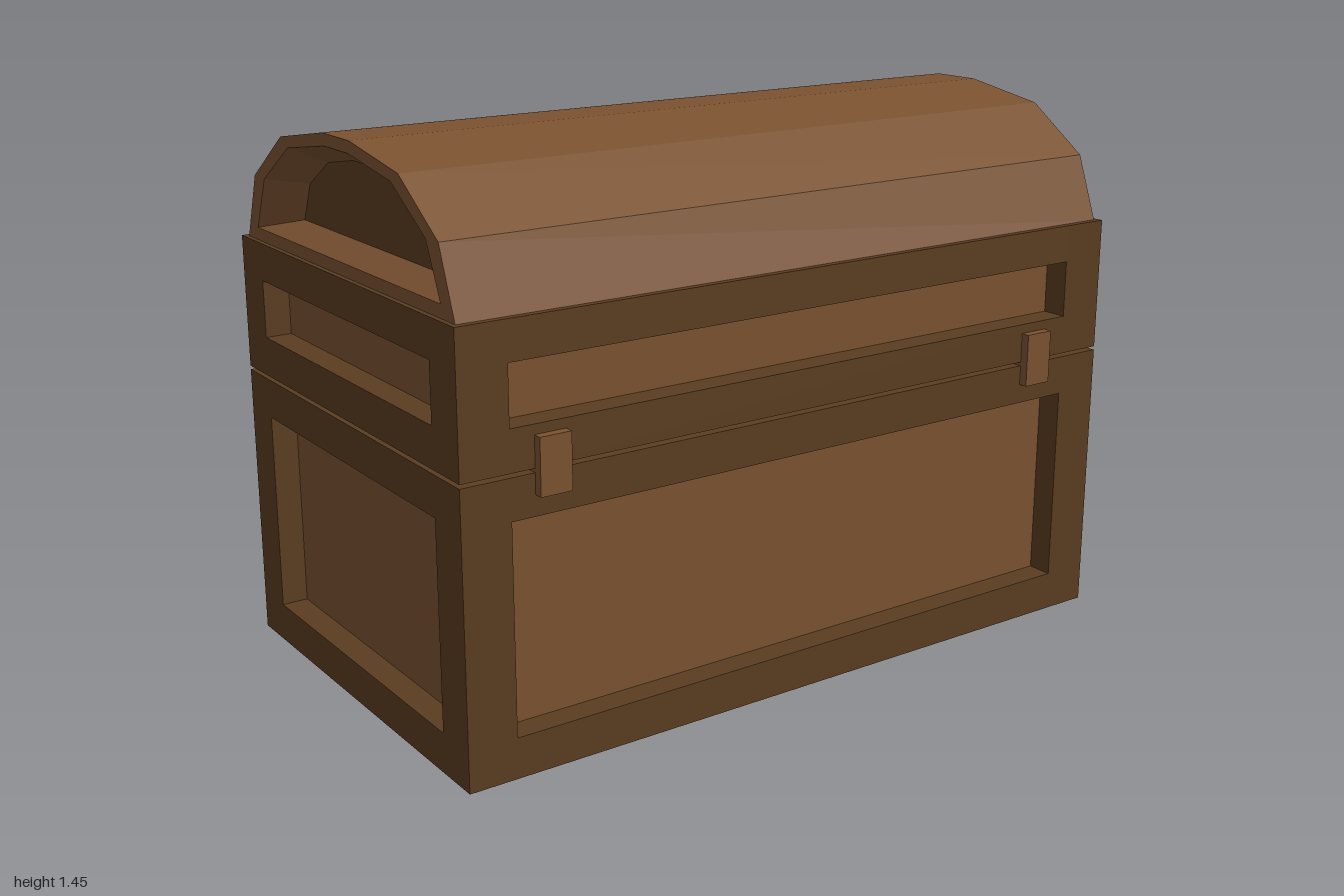
import * as THREE from 'three';

const light = new THREE.MeshStandardMaterial({ color: 0x7a5230, flatShading: true });
const dark = new THREE.MeshStandardMaterial({ color: 0x5b3d21, flatShading: true });
const iron = new THREE.MeshStandardMaterial({ color: 0x2b2e38, flatShading: true });

const HX = 1, HZ = 0.582; // half width and half depth
const POST_X = 0.13, POST_Z = 0.122, RECESS = 0.07;

function add(parent, name, geometry, material) {
  const mesh = new THREE.Mesh(geometry, material);
  mesh.name = name;
  parent.add(mesh);
  return mesh;
}

function box(parent, name, material, x0, x1, y0, y1, z0, z1) {
  const mesh = add(parent, name, new THREE.BoxGeometry(x1 - x0, y1 - y0, z1 - z0), material);
  mesh.position.set((x0 + x1) / 2, (y0 + y1) / 2, (z0 + z1) / 2);
  return mesh;
}

// Flat-shaded skin over cross-sections: each ring is { pts: [[x, y], ...] counter-clockwise, z }
function loft(rings) {
  const pos = [];
  const put = (r, i) => pos.push(r.pts[i][0], r.pts[i][1], r.z);
  for (let k = 0; k < rings.length - 1; k++) {
    const a = rings[k], b = rings[k + 1], n = a.pts.length;
    for (let i = 0; i < n; i++) {
      const j = (i + 1) % n;
      put(a, i); put(a, j); put(b, j);
      put(a, i); put(b, j); put(b, i);
    }
  }
  const g = new THREE.BufferGeometry();
  g.setAttribute('position', new THREE.Float32BufferAttribute(pos, 3));
  g.computeVertexNormals();
  return g;
}

const shapeOf = (pts) => new THREE.Shape(pts.map(([x, y]) => new THREE.Vector2(x, y)));

// Completes a right-hand outline (listed bottom to top) with its mirror image
const mirrored = (half) => [...half, ...half.slice().reverse().map(([x, y]) => [-x, y])];

// Framed box: corner posts, rails and a recessed panel core
function framedBox(name, y0, y1, panel0, panel1) {
  const group = new THREE.Group();
  group.name = name;
  const ix = HX - POST_X, iz = HZ - POST_Z;
  for (const sx of [-1, 1]) for (const sz of [-1, 1]) {
    const post = box(group, 'cornerPost', dark, ix, HX, y0, y1, iz, HZ);
    post.position.x *= sx;
    post.position.z *= sz;
  }
  for (const [a, b] of [[y0, panel0], [panel1, y1]]) for (const s of [-1, 1]) {
    box(group, 'longRail', dark, -ix, ix, a, b, iz, HZ).position.z *= s;
    box(group, 'sideRail', dark, ix, HX, a, b, -iz, iz).position.x *= s;
  }
  box(group, 'panels', light, RECESS - HX, HX - RECESS, y0 + RECESS, y1 - 0.04, RECESS - HZ, HZ - RECESS);
  return group;
}

// Barrel top with a bevelled recess in each end
function barrelTop() {
  const group = new THREE.Group();
  group.name = 'barrelTop';
  const outer = mirrored([[0.565, 1.11], [0.5, 1.282], [0.32, 1.405], [0.073, 1.446]]);
  const opening = mirrored([[0.5, 1.145], [0.44, 1.28], [0.28, 1.382], [0.065, 1.415]]);
  const inner = mirrored([[0.36, 1.18], [0.315, 1.28], [0.2, 1.35], [0.055, 1.375]]);
  const end = 0.987, back = end - RECESS;
  add(group, 'curvedLid', loft([
    { pts: inner, z: -back }, { pts: opening, z: -end }, { pts: outer, z: -end },
    { pts: outer, z: end }, { pts: opening, z: end }, { pts: inner, z: back },
  ]), light);
  for (const s of [-1, 1]) {
    const panel = add(group, 'endPanel', new THREE.ShapeGeometry(shapeOf(inner)), dark);
    panel.position.z = s * back;
    if (s < 0) panel.rotation.y = Math.PI;
  }
  group.rotation.y = Math.PI / 2;
  return group;
}

// Shield-shaped lock with a sunken plate and keyhole
function lock() {
  const group = new THREE.Group();
  group.name = 'lock';
  const shield = mirrored([[0.03, -0.135], [0.1, -0.04], [0.115, 0.1], [0.09, 0.13]]);
  const scaled = (k) => shield.map(([x, y]) => [x * k, y * k]);
  add(group, 'lockCase', loft([
    { pts: shield, z: 0.51 }, { pts: shield, z: 0.608 },
    { pts: scaled(0.82), z: 0.608 }, { pts: scaled(0.76), z: 0.594 },
  ]), light);
  add(group, 'lockPlate', new THREE.ShapeGeometry(shapeOf(scaled(0.76))), light).position.z = 0.594;
  const hole = mirrored([[0.01, -0.075], [0.028, -0.02], [0.032, 0.045], [0.015, 0.07]]);
  add(group, 'keyhole', new THREE.ExtrudeGeometry(shapeOf(hole), { depth: 0.004, bevelEnabled: false }), iron)
    .position.z = 0.593;
  group.position.set(0.003, 0.57, 0);
  group.rotation.y = Math.PI;
  return group;
}

export function createModel() {
  const chest = new THREE.Group();
  chest.name = 'chest';
  chest.add(framedBox('base', 0, 0.745, 0.105, 0.64));
  chest.add(framedBox('lidBand', 0.755, 1.112, 0.86, 1.012));
  chest.add(barrelTop());
  chest.add(lock());
  for (const x of [-0.765, 0.757])
    box(chest, 'hinge', light, x - 0.042, x + 0.042, 0.692, 0.835, 0.525, 0.606);
  return chest;
}
